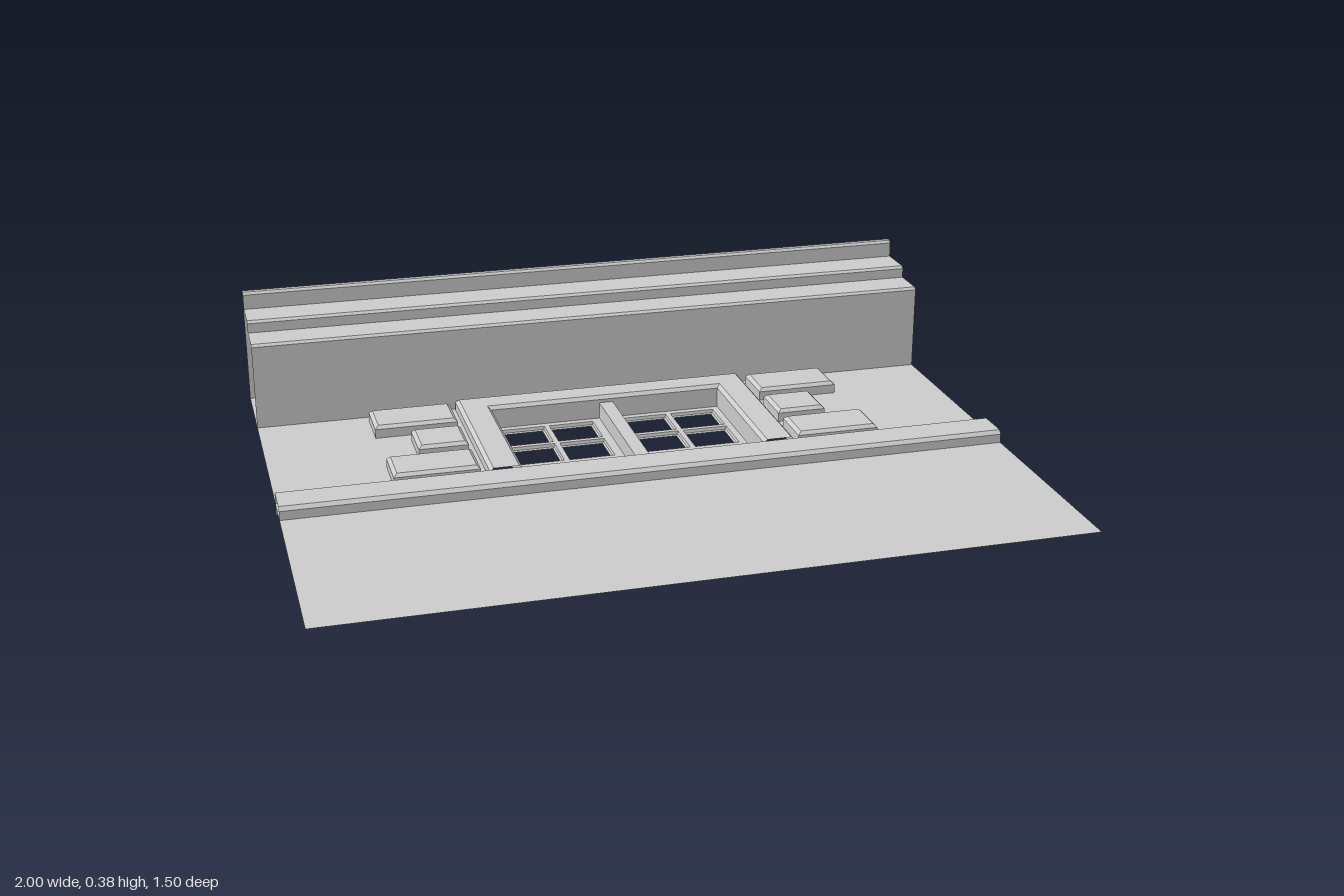
import * as THREE from 'three';

const WALL = 0.045; // height of the wall sheet
const TOP = 0.08;   // height of the raised trim

const material = new THREE.MeshStandardMaterial({
  color: 0xcccccc, flatShading: true, side: THREE.DoubleSide,
});

function add(parent, name, geometry) {
  const mesh = new THREE.Mesh(geometry, material);
  mesh.name = name;
  parent.add(mesh);
  return mesh;
}

// Joins successive rows of [x, y, z] points with flat quads
function loft(rows) {
  const out = [];
  for (let i = 0; i < rows.length - 1; i++) {
    for (let j = 0; j < rows[i].length - 1; j++) {
      const a = rows[i][j], b = rows[i][j + 1];
      const c = rows[i + 1][j + 1], d = rows[i + 1][j];
      out.push(...a, ...b, ...c, ...a, ...c, ...d);
    }
  }
  const geometry = new THREE.BufferGeometry();
  geometry.setAttribute('position', new THREE.Float32BufferAttribute(out, 3));
  geometry.computeVertexNormals();
  return geometry;
}

// Runs a [z, y] profile across the full width
const strip = (profile) =>
  loft([1, -1].map((x) => profile.map(([z, y]) => [x, y, z])));

// Closed rectangular ring, shrunk by inset
const ring = (x0, x1, z0, z1, y, inset = 0) => [
  [x0 + inset, y, z0 + inset], [x0 + inset, y, z1 - inset],
  [x1 - inset, y, z1 - inset], [x1 - inset, y, z0 + inset],
  [x0 + inset, y, z0 + inset],
];

// Flat sheet facing up; outline and holes are lists of [x, z]
function sheet(outline, y, holes = []) {
  const points = (list) => list.map(([x, z]) => new THREE.Vector2(x, -z));
  const shape = new THREE.Shape(points(outline));
  shape.holes = holes.map((h) => new THREE.Path(points(h)));
  return new THREE.ShapeGeometry(shape).rotateX(-Math.PI / 2).translate(0, y, 0);
}

const rect = (x0, x1, z0, z1) => [[x0, z1], [x1, z1], [x1, z0], [x0, z0]];

export function createModel() {
  const group = new THREE.Group();
  group.name = 'windowWallSection';

  // Wall sheet, open behind the window and its surround
  add(group, 'wall', sheet([
    [-1, 0.75], [1, 0.75], [1, -0.75], [0.43, -0.75],
    [0.43, 0.03], [-0.43, 0.03], [-0.43, -0.75], [-1, -0.75],
  ], WALL));

  // Stepped cornice and its back, open at both ends
  add(group, 'cornice', strip([
    [-0.51, WALL], [-0.51, 0.288], [-0.518, 0.295], [-0.617, 0.295],
    [-0.617, 0.323], [-0.625, 0.33], [-0.728, 0.33], [-0.728, 0.373],
    [-0.735, 0.38], [-0.75, 0.38], [-0.75, WALL],
  ]));

  // Sill course
  add(group, 'sillCourse', strip([
    [0.14, WALL], [0.14, 0.07], [0.13, TOP], [0.04, TOP], [0.03, 0.07], [0.03, 0.012],
  ]));

  // Window surround on three sides, with mitred corners
  const surround = [
    [0.09, WALL], [0.09, 0.07], [0.08, TOP], [0.01, TOP], [0, 0.07], [0, 0.012],
  ];
  add(group, 'windowSurround', loft([[-1, 0], [-1, 1], [1, 1], [1, 0]].map(
    ([side, back]) => surround.map(([o, y]) =>
      [side * (0.34 + o), y, back ? -0.41 - o : 0.03]))));

  // Centre mullion
  const mullion = add(group, 'mullion', new THREE.BoxGeometry(0.04, 0.048, 0.44));
  mullion.position.set(0, 0.036, -0.19);

  // Two sashes of six panes, each opening with tapered sides
  const columns = [[0.045, 0.175], [0.19, 0.32]];
  const rows = [[-0.39, -0.27], [-0.255, -0.13], [-0.115, 0.012]];
  for (const side of [-1, 1]) {
    const sash = new THREE.Group();
    sash.name = side > 0 ? 'leftSash' : 'rightSash';
    group.add(sash);
    const span = ([a, b]) => (side > 0 ? [a, b] : [-b, -a]);
    const panes = columns.flatMap((c) => rows.map((r) => [...span(c), ...r]));
    add(sash, 'sashFrame', sheet(
      rect(...span([0.02, 0.34]), -0.41, 0.03), 0.012, panes.map((p) => rect(...p))));
    for (const p of panes) {
      add(sash, 'paneReveal', loft([ring(...p, 0.012), ring(...p, 0.003, 0.002), ring(...p, 0, 0.007)]));
    }
  }

  // Bevelled blocks beside the window
  const blocks = [[0.685, -0.48, -0.345], [0.59, -0.305, -0.17], [0.685, -0.13, 0.005]];
  for (const side of [-1, 1]) {
    for (const [end, z0, z1] of blocks) {
      const x0 = side > 0 ? 0.45 : -end, x1 = side > 0 ? end : -0.45;
      const box = [x0, x1, z0, z1];
      const centre = Array(5).fill([(x0 + x1) / 2, TOP, (z0 + z1) / 2]);
      add(group, 'quoinBlock', loft([
        ring(...box, WALL), ring(...box, 0.071), ring(...box, TOP, 0.01), centre,
      ]));
    }
  }
  return group;
}
